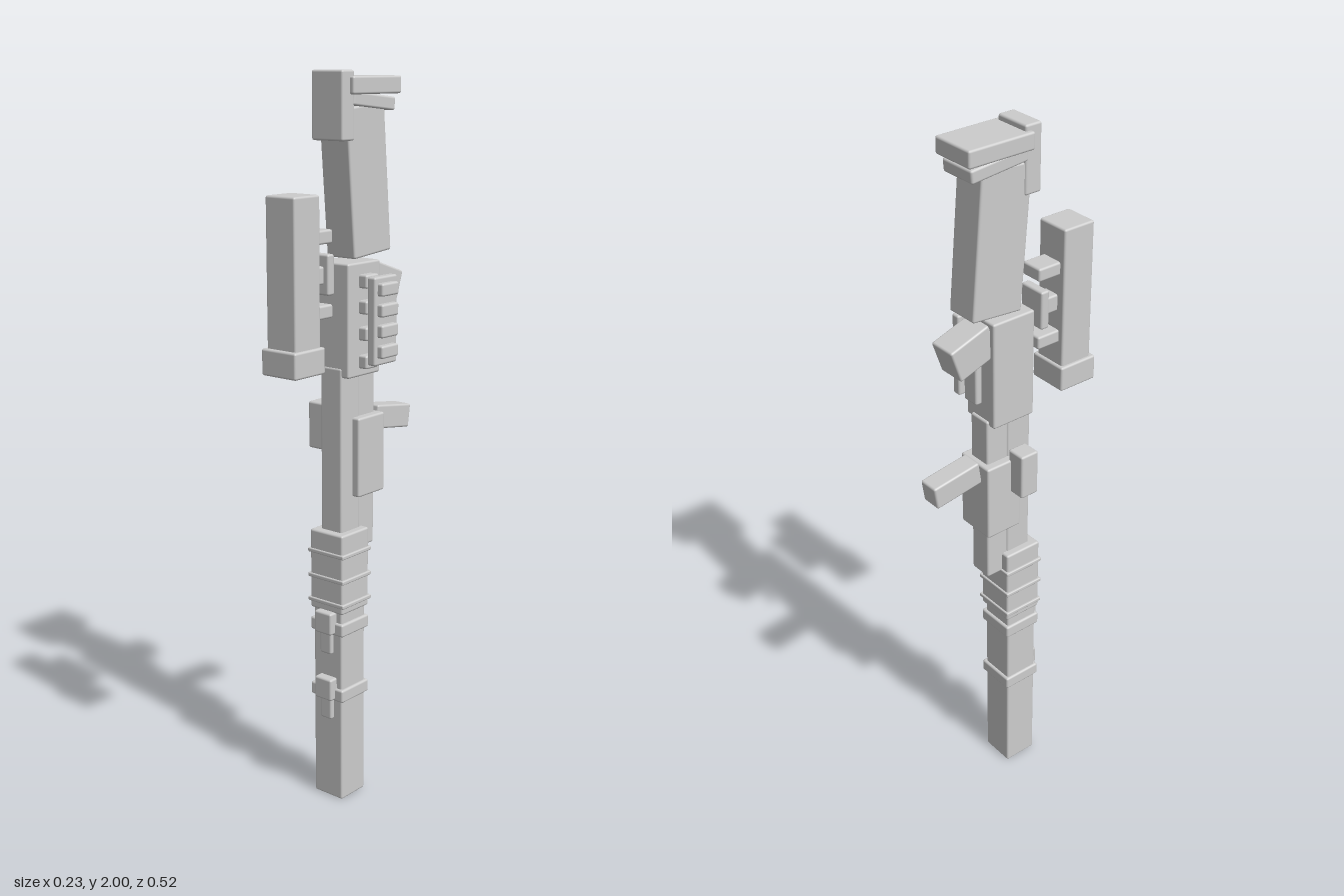
import * as THREE from 'three';
import { RoundedBoxGeometry } from 'three/addons/geometries/RoundedBoxGeometry.js';

const grey = new THREE.MeshStandardMaterial({ color: 0xcccccc });
grey.name = 'plain grey';

export function createModel() {
  const model = new THREE.Group();
  model.name = 'uprightRifle';

  // Softly bevelled box given by its extents on each axis, tilted about x
  function box(name, [x0, x1], [y0, y1], [z0, z1], tilt = 0) {
    const w = x1 - x0, h = y1 - y0, d = z1 - z0;
    const radius = Math.min(0.006, Math.min(w, h, d) * 0.3);
    const mesh = new THREE.Mesh(new RoundedBoxGeometry(w, h, d, 2, radius), grey);
    mesh.position.set((x0 + x1) / 2, (y0 + y1) / 2, (z0 + z1) / 2);
    mesh.rotation.x = tilt;
    mesh.name = name;
    model.add(mesh);
  }

  // Barrel with two collars, each carrying a front lug
  box('barrel', [-0.066, 0.034], [0, 0.6], [-0.029, 0.071]);
  for (const y of [0.3, 0.495]) {
    box('barrelCollar', [-0.073, 0.042], [y, y + 0.037], [-0.037, 0.078]);
    box('barrelLug', [-0.043, 0.016], [y + 0.005, y + 0.068], [0.06, 0.097]);
    box('lugTail', [-0.035, 0.005], [y - 0.058, y + 0.03], [0.06, 0.083]);
  }

  // Handguard with raised rings
  box('handguard', [-0.073, 0.041], [0.56, 0.787], [-0.037, 0.077]);
  for (const y of [0.585, 0.655, 0.727]) {
    box('handguardRing', [-0.079, 0.047], [y - 0.006, y + 0.006], [-0.042, 0.081]);
  }

  // Slim middle: front tube, rear tube, housing and handle
  box('frontTube', [-0.052, 0.02], [0.77, 1.24], [-0.021, 0.055]);
  box('rearTube', [-0.05, 0.018], [0.727, 1.23], [-0.087, -0.018]);
  box('housing', [-0.073, 0.042], [0.88, 1.1], [-0.103, 0.008]);
  box('rearHandle', [-0.045, 0.015], [1.036, 1.102], [-0.252, -0.104], -0.15);
  box('sideBox', [-0.118, -0.062], [1.0, 1.13], [-0.026, 0.03]);

  // Receiver with grip and trigger bar
  box('receiver', [-0.07, 0.042], [1.215, 1.517], [-0.08, 0.052]);
  box('grip', [-0.056, 0.025], [1.4, 1.495], [-0.19, -0.065], -0.33);
  box('triggerBar', [-0.04, 0.01], [1.285, 1.42], [-0.114, -0.093]);

  // Side rack: inner pegs, plate, outer pegs
  for (const y of [1.255, 1.33, 1.4, 1.468]) {
    box('innerPeg', [0.035, 0.067], [y - 0.018, y + 0.018], [-0.044, 0.008]);
  }
  box('sidePlate', [0.073, 0.099], [1.25, 1.483], [-0.081, 0.013]);
  for (let i = 0; i < 4; i++) {
    const y = 1.287 + i * 0.0545;
    box('outerPeg', [0.09, 0.116], [y - 0.017, y + 0.017], [-0.067, 0.002]);
  }

  // Scope with hood and mounts
  box('scopeTube', [-0.064, 0.034], [1.26, 1.7], [0.152, 0.249]);
  box('scopeHood', [-0.073, 0.043], [1.245, 1.315], [0.144, 0.261]);
  for (const y of [1.38, 1.572]) {
    box('scopeMount', [-0.048, 0.018], [y, y + 0.036], [0.084, 0.16]);
  }
  box('scopeKnobStem', [-0.04, 0.01], [1.468, 1.515], [0.1, 0.16]);
  box('scopeKnob', [-0.056, 0.025], [1.44, 1.546], [0.086, 0.112]);

  // Leaning stock with butt cap, lip and front plate
  box('stock', [-0.063, 0.033], [1.53, 1.914], [-0.122, 0.03], 0.083);
  box('stockLip', [-0.07, 0.04], [1.905, 1.94], [-0.143, 0.027], -0.1);
  box('buttCap', [-0.079, 0.05], [1.94, 1.985], [-0.156, 0.04]);
  box('stockFrontPlate', [-0.067, 0.037], [1.826, 2.0], [0.02, 0.069]);

  return model;
}
